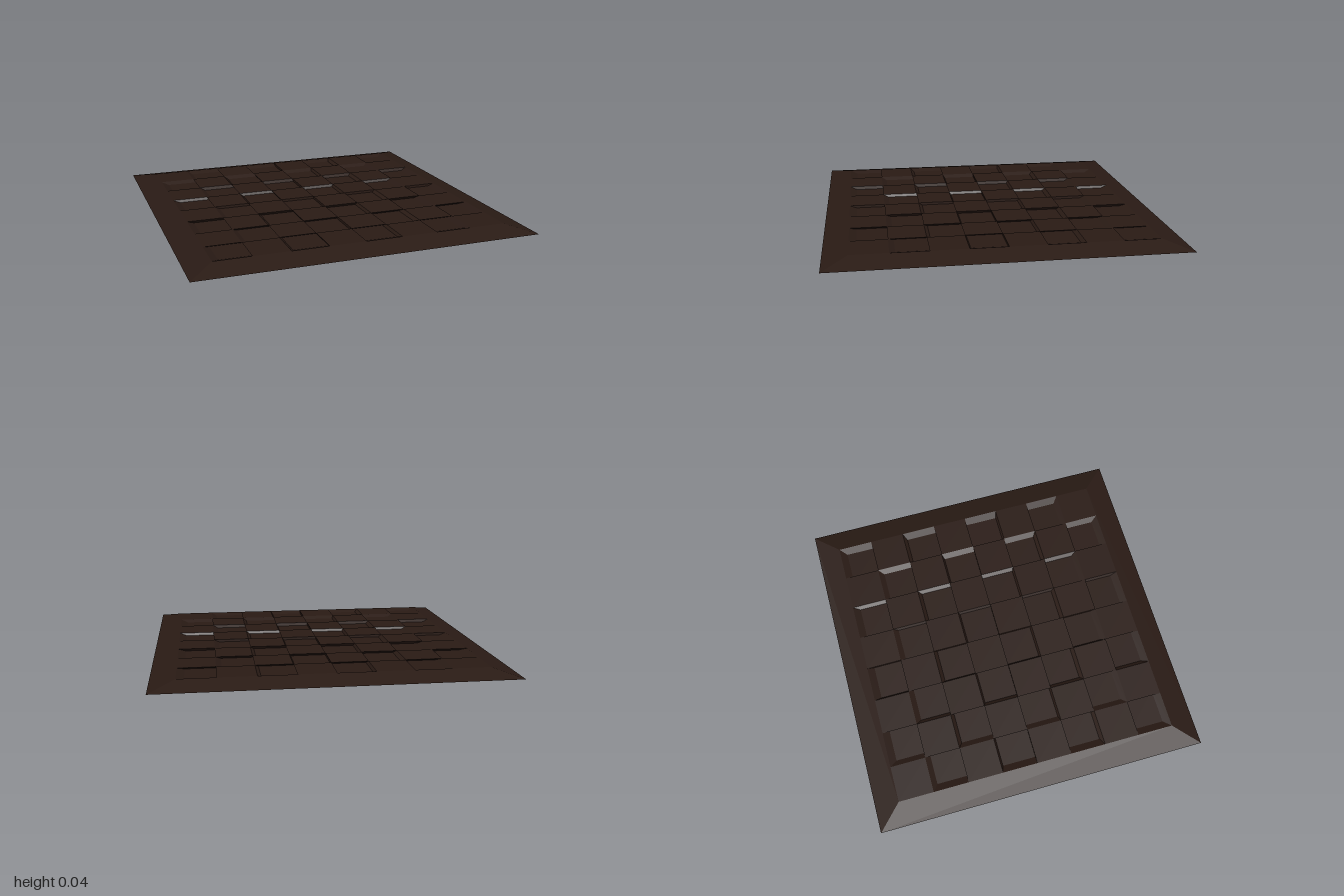
import * as THREE from 'three';

const HEIGHT = 0.035;   // top of the mat
const INNER = 0.856;    // half width of the chequered field
const CELLS = 8;
const SINK = 0.015;     // depth of the sunken squares
const TAPER = 0.95;     // sunken floors shrink toward the centre of the mat

// Square ring of corners, anticlockwise seen from above.
const ring = (x0, x1, z0, z1, y, s = 1) =>
  [[x0, z0], [x0, z1], [x1, z1], [x1, z0]].map(([x, z]) => [x * s, y, z * s]);

const quad = (out, a, b, c, d) => out.push(...a, ...b, ...c, ...a, ...c, ...d);

// Four walls joining two rings.
function walls(out, outer, inner) {
  for (let k = 0; k < 4; k++) {
    const n = (k + 1) % 4;
    quad(out, outer[k], outer[n], inner[n], inner[k]);
  }
}

function makeMesh(name, points, material) {
  const geometry = new THREE.BufferGeometry();
  geometry.setAttribute('position', new THREE.Float32BufferAttribute(points, 3));
  geometry.computeVertexNormals();
  const mesh = new THREE.Mesh(geometry, material);
  mesh.name = name;
  return mesh;
}

export function createModel() {
  const group = new THREE.Group();
  group.name = 'floorMat';
  const material = new THREE.MeshStandardMaterial({ color: 0x2a1b15 });

  // Sloping border and flat underside
  const border = [], base = [];
  const foot = ring(-1, 1, -1, 1, 0);
  walls(border, foot, ring(-INNER, INNER, -INNER, INNER, HEIGHT));
  quad(base, foot[3], foot[2], foot[1], foot[0]);

  // Chequered field: flush squares alternate with sunken ones
  const flush = [], sunken = [];
  const size = (2 * INNER) / CELLS;
  for (let row = 0; row < CELLS; row++) {
    for (let col = 0; col < CELLS; col++) {
      const x = -INNER + col * size, z = -INNER + row * size;
      const rim = ring(x, x + size, z, z + size, HEIGHT);
      if ((row + col) % 2 === 0) {
        quad(flush, ...rim);
      } else {
        const floor = ring(x, x + size, z, z + size, HEIGHT - SINK, TAPER);
        walls(sunken, rim, floor);
        quad(sunken, ...floor);
      }
    }
  }

  group.add(
    makeMesh('border', border, material),
    makeMesh('underside', base, material),
    makeMesh('flushSquares', flush, material),
    makeMesh('sunkenSquares', sunken, material)
  );
  return group;
}
